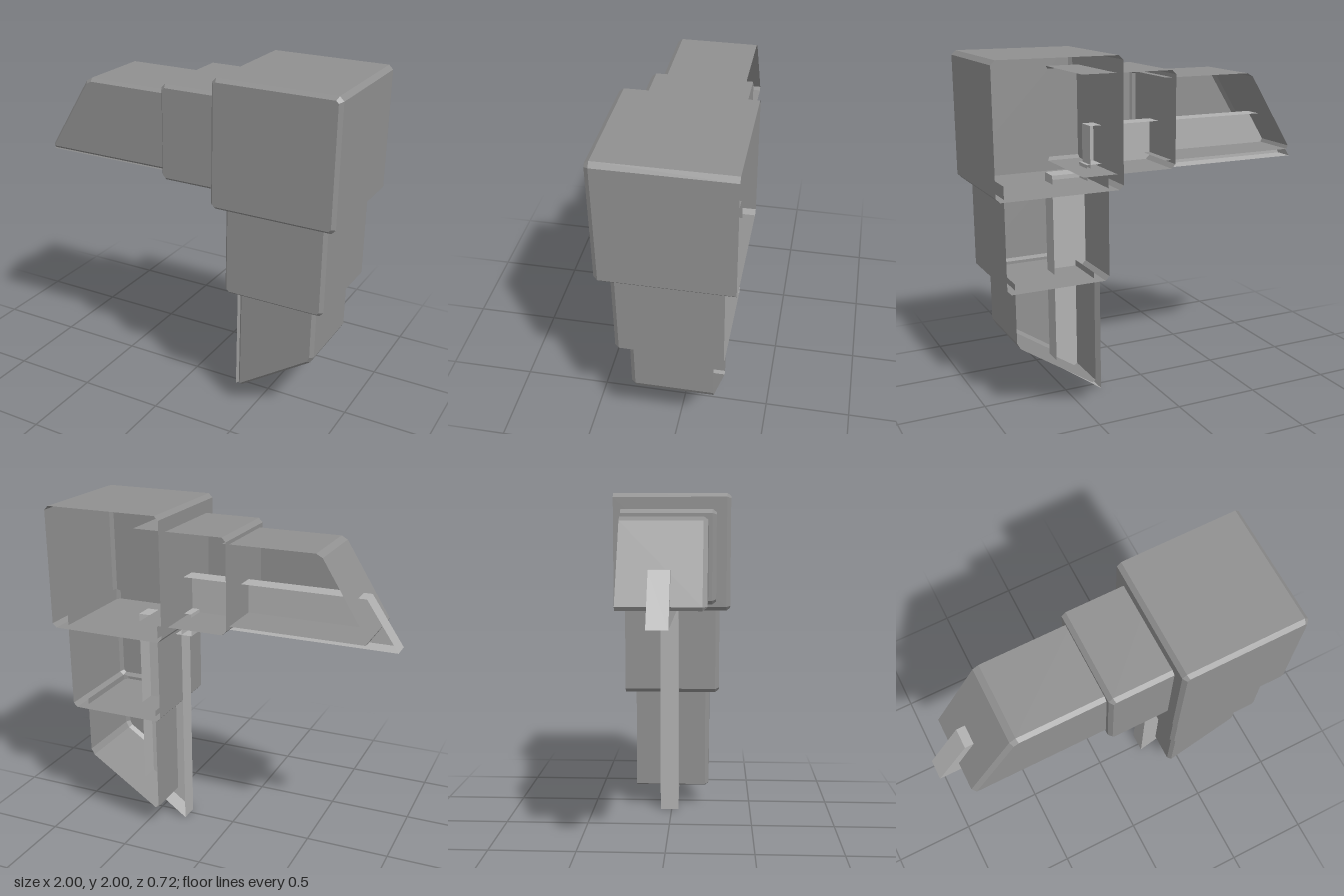
import * as THREE from 'three';

const material = (color) => new THREE.MeshStandardMaterial({ color, side: THREE.DoubleSide, flatShading: true });
const boxGrey = material(0x909090), railGrey = material(0xb1b1b1);
const CHAMFER = 0.024, INSET = 0.018;

// Cut the corners of an outline; an open outline keeps its two end corners.
function chamfer(pts, open) {
  const n = pts.length;
  return pts.flatMap((p, i) => {
    if (open && (i === 0 || i === n - 1)) return [p.clone()];
    return [pts[(i + n - 1) % n], pts[(i + 1) % n]].map((q) =>
      p.clone().add(q.clone().sub(p).setLength(CHAMFER)));
  });
}

// Shrink a counter-clockwise outline by distance d.
function inset(pts, d) {
  const n = pts.length;
  const normal = (a, b) => new THREE.Vector2(a.y - b.y, b.x - a.x).normalize();
  return pts.map((p, i) => {
    const a = normal(pts[(i + n - 1) % n], p), b = normal(p, pts[(i + 1) % n]);
    return p.clone().addScaledVector(a.clone().add(b), d / (1 + a.dot(b)));
  });
}

// Thin shell with an outline in x/y: a front face, side walls and an open back.
// With open = true the wall between the last and first corner is left out.
function shell(name, corners, back, front, { bevel = true, open = false, mat = boxGrey } = {}) {
  const raw = corners.map(([x, y]) => new THREE.Vector2(x, y));
  const outline = bevel ? chamfer(raw, open) : raw;
  const face = bevel ? inset(outline, INSET) : outline;
  const rings = [[outline, back], [outline, bevel ? front - CHAMFER : front]];
  if (bevel) rings.push([face, front]);

  const pos = [];
  const put = (p, z) => pos.push(p.x, p.y, z);
  const n = outline.length;
  for (let r = 0; r + 1 < rings.length; r++) {
    const [A, za] = rings[r], [B, zb] = rings[r + 1];
    for (let i = 0; i < n; i++) {
      if (open && i === n - 1) continue;
      const j = (i + 1) % n;
      put(A[i], za); put(A[j], za); put(B[j], zb);
      put(A[i], za); put(B[j], zb); put(B[i], zb);
    }
  }
  for (const tri of THREE.ShapeUtils.triangulateShape(face, [])) {
    for (const k of tri) put(face[k], front);
  }
  const geo = new THREE.BufferGeometry();
  geo.setAttribute('position', new THREE.Float32BufferAttribute(pos, 3));
  geo.computeVertexNormals();
  const mesh = new THREE.Mesh(geo, mat);
  mesh.name = name;
  return mesh;
}

export function createModel() {
  const model = new THREE.Group();
  model.name = 'cornerBracket';

  // Corner box
  model.add(shell('cornerBox', [[0.28, 1.28], [1, 1.28], [1, 2], [0.28, 2]], -0.36, 0.363));

  // Horizontal arm: two sleeves, each open where it slides into the next
  const arm = { open: true };
  model.add(shell('horizontalSleeve',
    [[0.48, 1.9], [-0.08, 1.9], [-0.08, 1.35], [0.48, 1.35]], -0.28, 0.275, arm));
  model.add(shell('horizontalTip',
    [[-0.04, 1.855], [-0.595, 1.855], [-0.885, 1.39], [-0.04, 1.39]], -0.235, 0.23, arm));

  // Vertical arm
  model.add(shell('verticalSleeve',
    [[0.34, 1.35], [0.34, 0.755], [0.935, 0.755], [0.935, 1.35]], -0.295, 0.297, arm));
  model.add(shell('verticalTip',
    [[0.405, 0.79], [0.405, 0.115], [0.87, 0.425], [0.87, 0.79]], -0.23, 0.235, arm));

  // Narrow channels along the inner sides of the arms, and the block joining them
  const channel = { bevel: false, mat: railGrey };
  model.add(shell('horizontalRail',
    [[-1, 1.31], [0.35, 1.31], [0.35, 1.59], [-0.81, 1.59]], -0.07, 0.043, channel));
  model.add(shell('verticalRail',
    [[0.3, 0], [0.58, 0.2], [0.58, 1.33], [0.3, 1.33]], -0.07, 0.043, channel));
  model.add(shell('railJoint',
    [[0.235, 1.235], [0.37, 1.235], [0.37, 1.37], [0.235, 1.37]], -0.07, 0.043, channel));

  return model;
}
